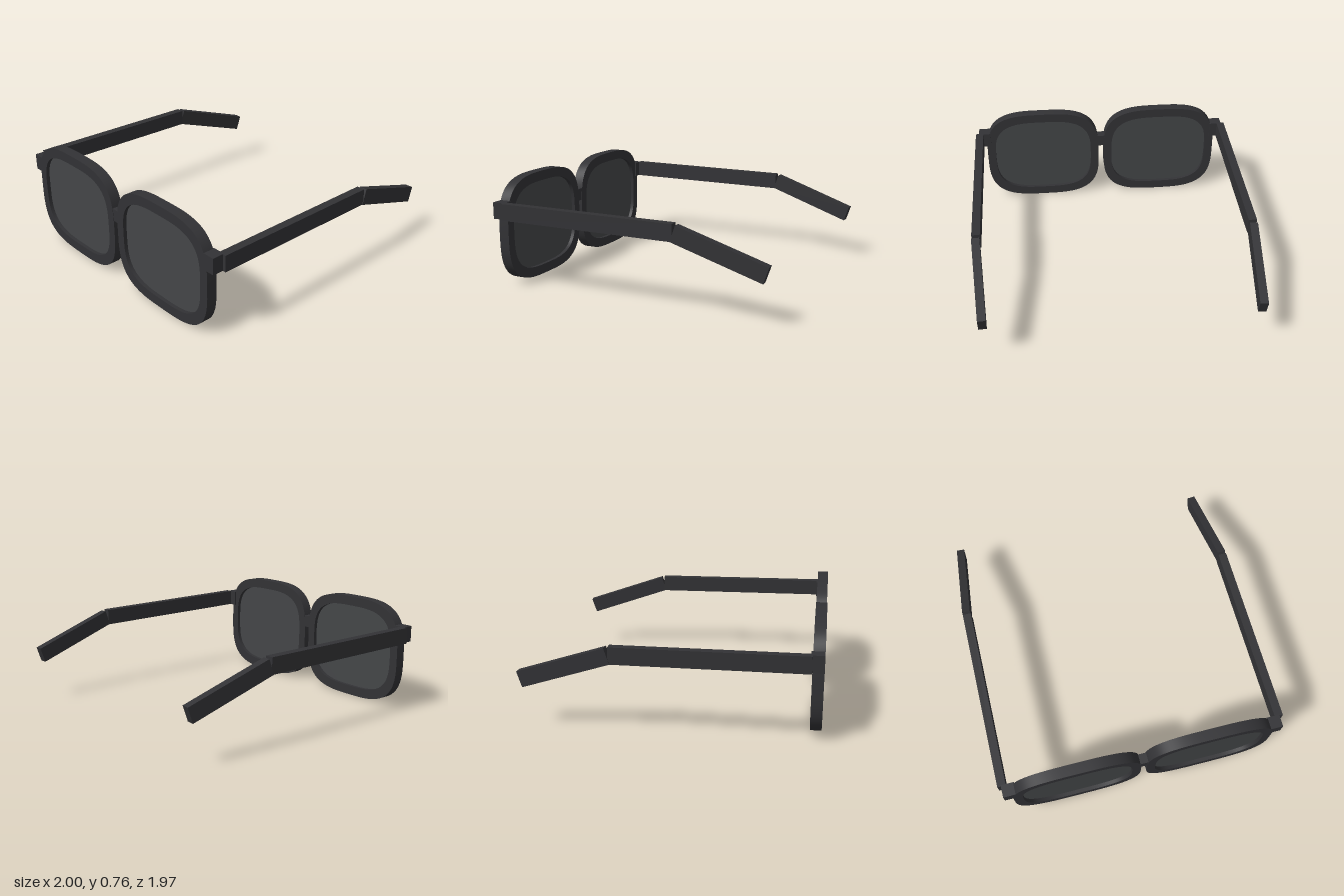
import * as THREE from 'three';
import { toCreasedNormals } from 'three/addons/utils/BufferGeometryUtils.js';

const frameMaterial = new THREE.MeshStandardMaterial({ color: 0x323235 });
const lensMaterial = new THREE.MeshStandardMaterial({ color: 0x444648 });

// Rounded-square outline with half sizes a and b
function outline(a, b, count = 80, n = 3.25) {
  const points = [];
  for (let i = 0; i < count; i++) {
    const t = (i / count) * Math.PI * 2;
    const c = Math.cos(t), s = Math.sin(t);
    points.push(new THREE.Vector2(
      a * Math.sign(c) * Math.abs(c) ** (2 / n),
      b * Math.sign(s) * Math.abs(s) ** (2 / n)
    ));
  }
  return points;
}

// Flat plate centred on z = 0
function plate(shape, depth) {
  const geometry = new THREE.ExtrudeGeometry(shape, { depth, bevelEnabled: false });
  geometry.translate(0, 0, -depth / 2);
  return toCreasedNormals(geometry, 0.6);
}

function addMesh(parent, name, geometry, material, x, y, z) {
  const mesh = new THREE.Mesh(geometry, material);
  mesh.name = name;
  mesh.position.set(x, y, z);
  parent.add(mesh);
  return mesh;
}

// Straight bar running between two points
function addBar(parent, name, from, to, width, height) {
  const a = new THREE.Vector3(...from), b = new THREE.Vector3(...to);
  const mid = a.clone().add(b).multiplyScalar(0.5);
  const geometry = new THREE.BoxGeometry(width, height, a.distanceTo(b));
  addMesh(parent, name, geometry, frameMaterial, mid.x, mid.y, mid.z).lookAt(b);
}

export function createModel() {
  const glasses = new THREE.Group();
  glasses.name = 'glasses';

  const rimShape = new THREE.Shape(outline(0.45, 0.381));
  rimShape.holes.push(new THREE.Path(outline(0.386, 0.312).reverse()));
  const rimGeometry = plate(rimShape, 0.075);
  const lensGeometry = plate(new THREE.Shape(outline(0.388, 0.314)), 0.022);

  for (const [side, s] of [['left', 1], ['right', -1]]) {
    // Rim and lens
    addMesh(glasses, side + 'Rim', rimGeometry, frameMaterial, s * 0.47, 0.384, 0.948);
    addMesh(glasses, side + 'Lens', lensGeometry, lensMaterial, s * 0.47, 0.384, 0.948);

    // Hinge block at the outer edge
    addMesh(glasses, side + 'Hinge', new THREE.BoxGeometry(0.09, 0.114, 0.085),
      frameMaterial, s * 0.93, 0.558, 0.943);

    // Arm and its bent-down tip
    addBar(glasses, side + 'Arm', [s * 0.97, 0.558, 0.91], [s * 0.957, 0.546, -0.365], 0.058, 0.114);
    addBar(glasses, side + 'ArmTip', [s * 0.961, 0.543, -0.37], [s * 0.919, 0.34, -0.968], 0.056, 0.112);
  }

  // Bridge over the nose
  addMesh(glasses, 'bridge', new THREE.BoxGeometry(0.09, 0.09, 0.07), frameMaterial, 0, 0.497, 0.948);

  return glasses;
}
